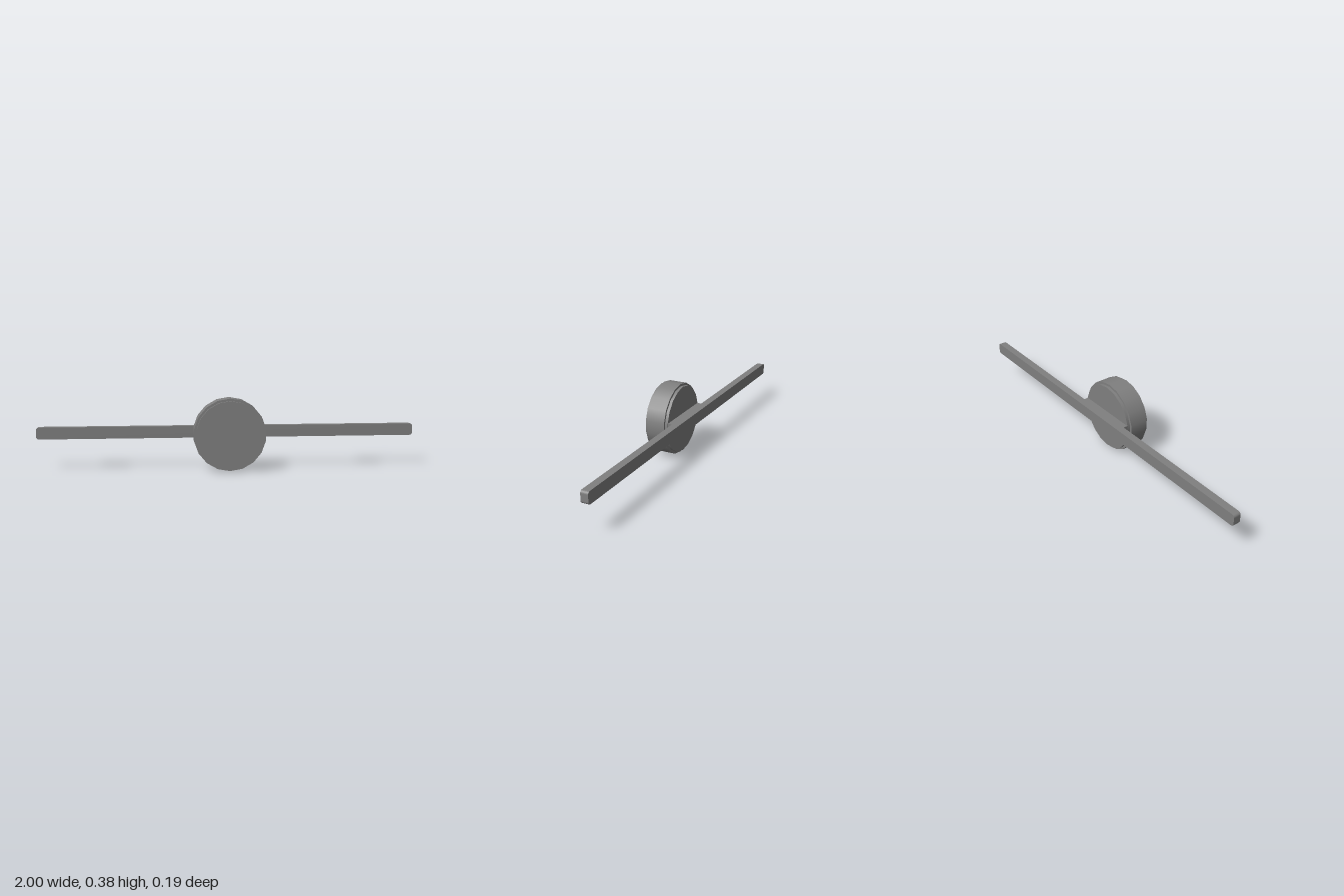
import * as THREE from 'three';

const CENTER_Y = 0.188;
const SIDES = 18;

export function createModel() {
  const model = new THREE.Group();
  const grey = new THREE.MeshStandardMaterial({ color: 0x808080 });
  grey.name = 'grey';

  const add = (name, geometry, y, z) => {
    const mesh = new THREE.Mesh(geometry, grey);
    mesh.name = name;
    mesh.position.set(0, y, z);
    model.add(mesh);
  };

  // Round disc facing the front, spanning zBack to zFront
  const disc = (name, radius, zBack, zFront) => {
    const geometry = new THREE.CylinderGeometry(radius, radius, zFront - zBack, SIDES);
    geometry.rotateX(Math.PI / 2);
    add(name, geometry, CENTER_Y, (zBack + zFront) / 2);
  };

  // Housing: a wide rim with a slightly smaller face at the front and back
  disc('rim', 0.188, -0.016, 0.078);
  disc('frontFace', 0.176, 0.078, 0.094);
  disc('backFace', 0.176, -0.031, -0.016);

  // Mounting block between the housing and the bar
  add('mountBlock', new THREE.BoxGeometry(0.342, 0.062, 0.023), 0.189, -0.0425);

  // Long bar with rounded end corners
  const w = 1, h = 0.031, r = 0.014;
  const outline = new THREE.Shape();
  outline.absarc(w - r, h - r, r, 0, Math.PI / 2);
  outline.absarc(-w + r, h - r, r, Math.PI / 2, Math.PI);
  outline.absarc(-w + r, -h + r, r, Math.PI, Math.PI * 1.5);
  outline.absarc(w - r, -h + r, r, Math.PI * 1.5, Math.PI * 2);
  outline.closePath();
  const bar = new THREE.ExtrudeGeometry(outline, { depth: 0.039, bevelEnabled: false, curveSegments: 4 });
  add('bar', bar, 0.189, -0.093);

  return model;
}
